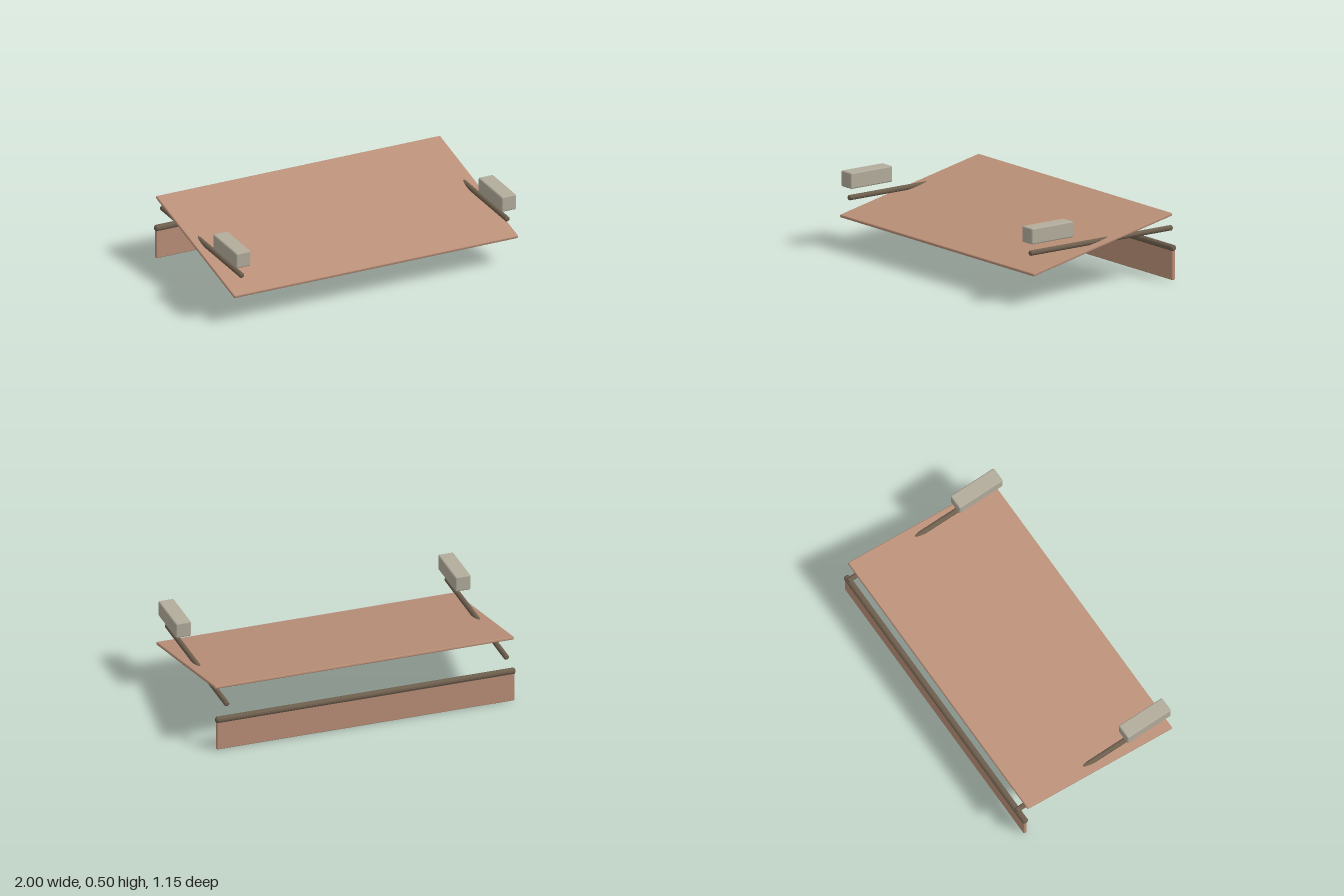
import * as THREE from 'three';
import { RoundedBoxGeometry } from 'three/addons/geometries/RoundedBoxGeometry.js';

const fabric = new THREE.MeshStandardMaterial({ color: 0xbc9179 });
fabric.name = 'terracottaFabric';
const metal = new THREE.MeshStandardMaterial({ color: 0x6e5f4e, flatShading: true });
metal.name = 'bronzeMetal';
const stone = new THREE.MeshStandardMaterial({ color: 0xb3ad9d });
stone.name = 'paleStone';

// Box with softened edges
function slab(name, size, position, bevel, material) {
  const mesh = new THREE.Mesh(new RoundedBoxGeometry(...size, 1, bevel), material);
  mesh.name = name;
  mesh.position.set(...position);
  return mesh;
}

// Round bar along y with chamfered ends
function bar(name, radius, length, position) {
  const h = length / 2, c = radius * 0.4;
  const profile = [[0, -h], [radius - c, -h], [radius, -h + c], [radius, h - c], [radius - c, h], [0, h]]
    .map(([x, y]) => new THREE.Vector2(x, y));
  const mesh = new THREE.Mesh(new THREE.LatheGeometry(profile, 12), metal);
  mesh.name = name;
  mesh.position.set(...position);
  return mesh;
}

export function createModel() {
  const model = new THREE.Group();
  model.name = 'awning';

  // Sloping canopy, high at the back
  const canopy = slab('canopy', [2, 0.02, 1.13], [0, 0.317, 0.023], 0.007, fabric);
  canopy.rotation.x = 0.208;
  model.add(canopy);

  // Hanging valance and the roller along its top
  model.add(slab('valance', [1.99, 0.205, 0.025], [0, 0.1055, -0.543], 0.007, fabric));
  const roller = bar('roller', 0.021, 2, [0, 0.21, -0.543]);
  roller.rotation.z = Math.PI / 2;
  model.add(roller);

  // Side rails and brackets, mirrored
  for (const [side, s] of [['left', 1], ['right', -1]]) {
    const rail = bar(side + 'Rail', 0.0175, 1.13, [s * 0.934, 0.328, -0.01]);
    rail.rotation.x = Math.PI / 2;
    model.add(rail);
    model.add(slab(side + 'Bracket', [0.104, 0.105, 0.333], [s * 0.934, 0.4475, 0.41], 0.01, stone));
  }
  return model;
}
